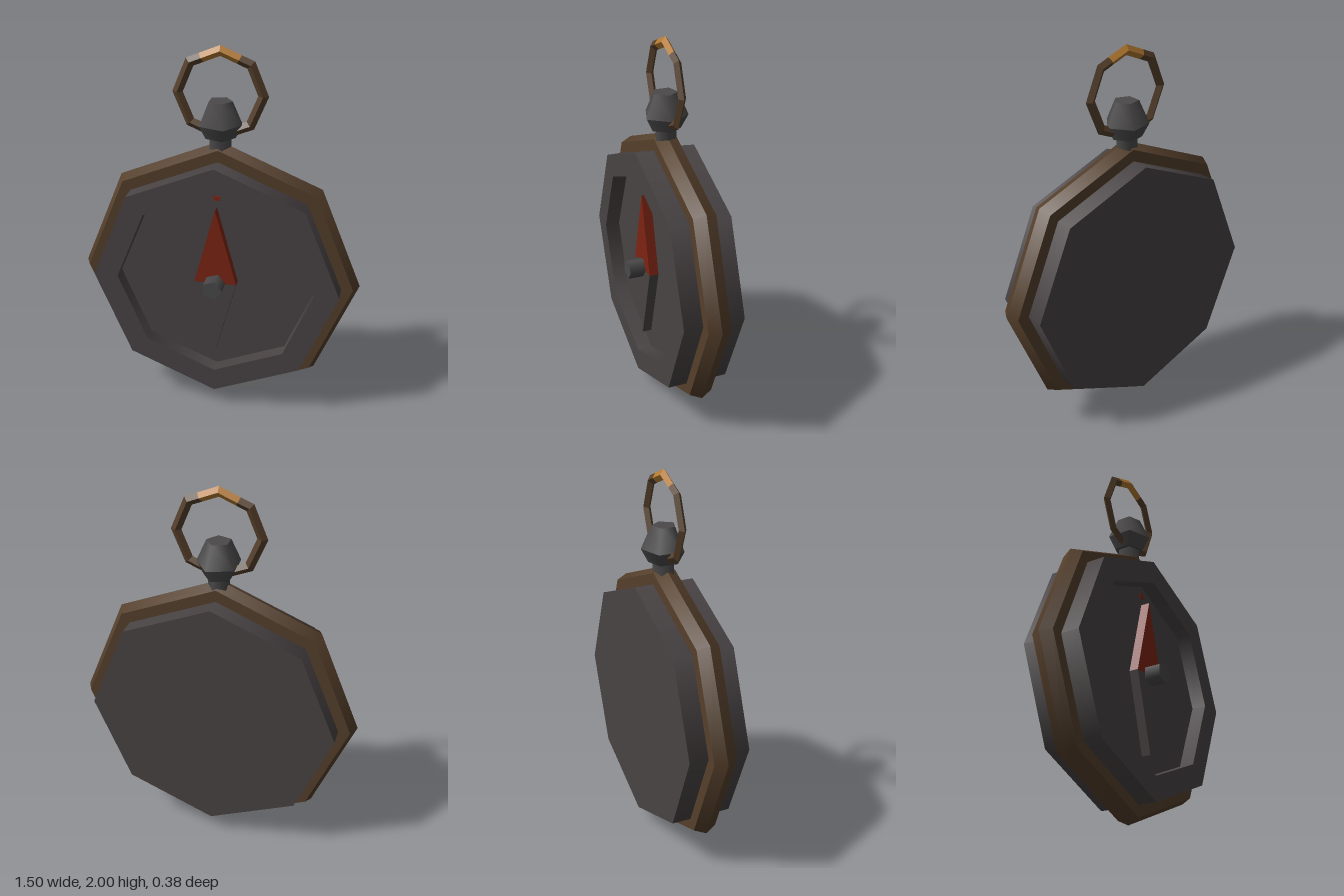
import * as THREE from 'three';
import { mergeGeometries } from 'three/addons/utils/BufferGeometryUtils.js';

const CENTRE_Y = 0.755;
const MID_Z = -0.03;

const mat = (name, color) => {
  const m = new THREE.MeshStandardMaterial({ color });
  m.name = name;
  return m;
};

// Turned solid with few sides; every profile edge stays sharp
function turned(profile, sides, start = 0) {
  const bands = [];
  for (let i = 0; i < profile.length - 1; i++) {
    const pair = [profile[i], profile[i + 1]].map(([r, y]) => new THREE.Vector2(r, y));
    bands.push(new THREE.LatheGeometry(pair, sides, start));
  }
  return mergeGeometries(bands);
}

// Point on the eight-sided bow; s counts sides clockwise from the top
function bowPoint(s, k) {
  const [r, z] = [[0.245, 0], [0.218, 0.02], [0.191, 0], [0.218, -0.02]][k % 4];
  const corner = (n) => new THREE.Vector3(Math.sin(n * Math.PI / 4) * r, Math.cos(n * Math.PI / 4) * r, z);
  const n = Math.floor(s);
  return corner(n).lerp(corner(n + 1), s - n);
}

// Diamond-section length of the bow through the given stations
function bowSection(stations) {
  const pos = [];
  for (let i = 0; i < stations.length - 1; i++) {
    for (let k = 0; k < 4; k++) {
      const a = bowPoint(stations[i], k), b = bowPoint(stations[i + 1], k);
      const c = bowPoint(stations[i + 1], k + 1), d = bowPoint(stations[i], k + 1);
      for (const p of [a, d, c, a, c, b]) pos.push(p.x, p.y, p.z);
    }
  }
  const g = new THREE.BufferGeometry();
  g.setAttribute('position', new THREE.Float32BufferAttribute(pos, 3));
  g.computeVertexNormals();
  return g;
}

// Flat triangle extruded towards the front
function wedge(points, depth) {
  const shape = new THREE.Shape(points.map(([x, y]) => new THREE.Vector2(x, y)));
  return new THREE.ExtrudeGeometry(shape, { depth, bevelEnabled: false });
}

export function createModel() {
  const group = new THREE.Group();
  const casing = mat('dark casing', 0x494344);
  const iron = mat('iron', 0x4b4949);
  const brass = mat('dull brass', 0x553f2b);
  const gold = mat('worn gold', 0xb47a30);
  const red = mat('red paint', 0x7c2412);

  const add = (name, geometry, material, y, z) => {
    const mesh = new THREE.Mesh(geometry, material);
    mesh.name = name;
    mesh.position.set(0, y, z);
    group.add(mesh);
  };

  // Octagonal case with a sunken dial
  add('case', turned([[0, -0.19], [0.66, -0.19], [0.66, 0.13], [0.53, 0.13], [0.53, 0.05], [0, 0.05]], 8)
    .rotateX(Math.PI / 2), casing, CENTRE_Y, 0);

  // Bevelled band around the case
  add('rim', turned([[0.64, -0.06], [0.722, -0.06], [0.752, 0], [0.722, 0.06], [0.64, 0.06]], 8)
    .rotateX(Math.PI / 2), brass, CENTRE_Y, MID_Z);

  // Needle halves, pivot pin and north mark
  add('needleNorth', wedge([[-0.113, 0], [0.113, 0], [0, 0.42]], 0.05), red, CENTRE_Y, 0.05);
  add('needleSouth', wedge([[0.113, 0], [-0.113, 0], [0, -0.42]], 0.05), casing, CENTRE_Y, 0.05);
  add('pivotPin', turned([[0.055, 0.05], [0.055, 0.185], [0, 0.185]], 5, Math.PI / 2)
    .rotateX(Math.PI / 2), iron, CENTRE_Y, 0);
  add('northMark', wedge([[-0.022, 0.012], [-0.012, -0.012], [0.015, -0.012], [0.022, 0.012]], 0.005),
    red, 1.225, 0.05);

  // Five-sided stem and crown
  add('stem', turned([[0.058, 1.44], [0.058, 1.55]], 5, Math.PI / 2), iron, 0, MID_Z);
  add('crown', turned([[0, 1.53], [0.08, 1.53], [0.117, 1.6], [0.064, 1.72], [0, 1.72]], 5, Math.PI / 2),
    iron, 0, MID_Z);

  // Hanging bow, worn bright at the top
  add('bow', bowSection([0.62, 1, 2, 3, 4, 5, 6, 7, 7.38]), brass, 1.755, MID_Z);
  add('bowWornTop', bowSection([-0.62, 0, 0.62]), gold, 1.755, MID_Z);

  return group;
}
